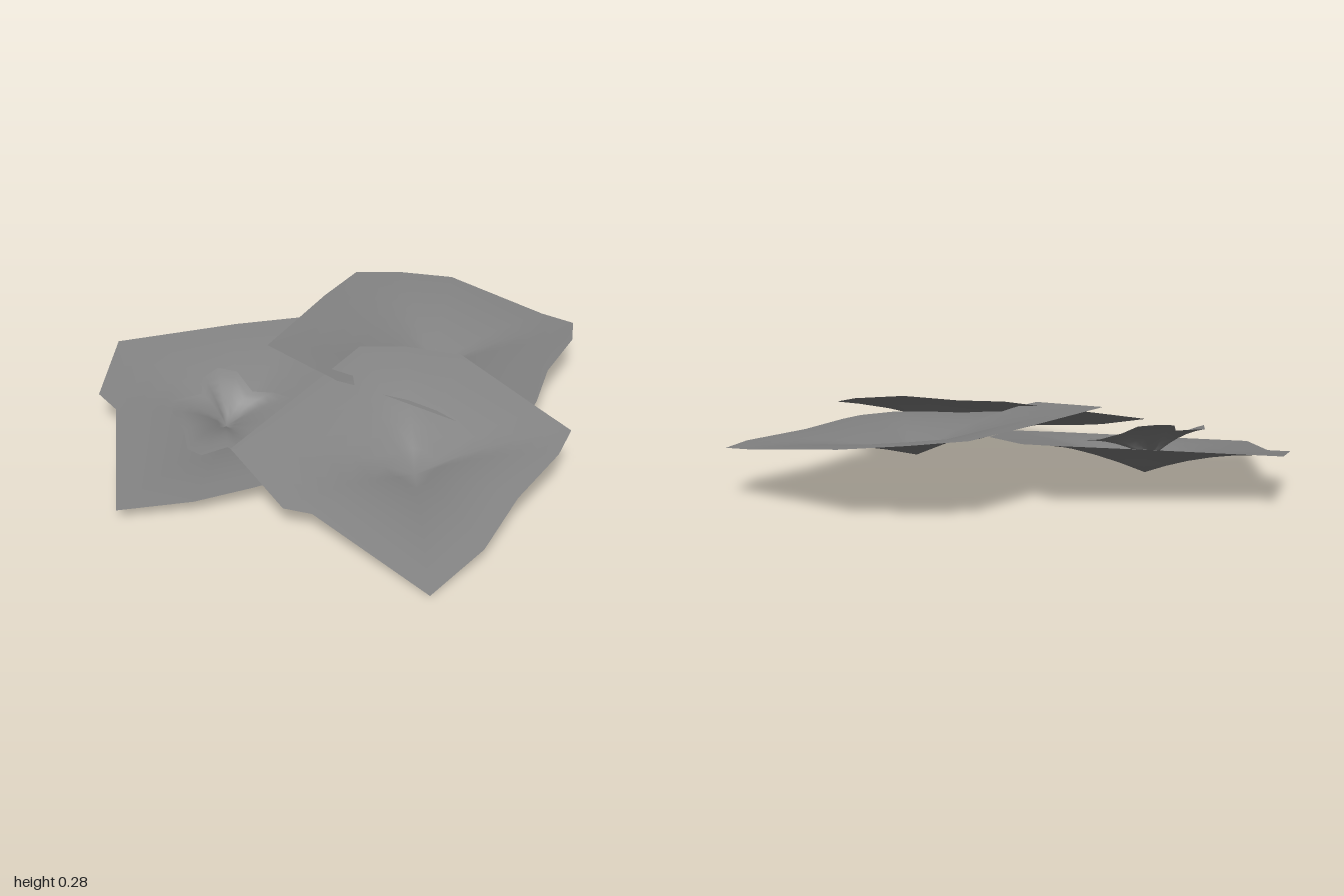
import * as THREE from 'three';

// Thin dished sheet: rings of the rim outline shrinking onto a low centre point.
// bulge raises the surface between centre and rim.
function dishedSheet(name, centre, rim, bulge) {
  const rings = 6;
  const c = new THREE.Vector3(...centre);
  const n = rim.length;
  const pos = [...centre];
  const index = [];
  for (let r = 1; r <= rings; r++) {
    const t = r / rings;
    for (const p of rim) {
      const v = c.clone().lerp(new THREE.Vector3(...p), t);
      pos.push(v.x, v.y + bulge * 4 * t * (1 - t), v.z);
    }
  }
  for (let i = 0; i < n; i++) {
    const j = (i + 1) % n;
    index.push(0, 1 + i, 1 + j);
    for (let r = 1; r < rings; r++) {
      const a = 1 + (r - 1) * n, b = 1 + r * n;
      index.push(a + i, b + i, b + j, a + i, b + j, a + j);
    }
  }
  const geo = new THREE.BufferGeometry();
  geo.setAttribute('position', new THREE.Float32BufferAttribute(pos, 3));
  geo.setIndex(index);
  geo.computeVertexNormals();
  const mesh = new THREE.Mesh(geo, new THREE.MeshStandardMaterial({ color: 0x828282, side: THREE.DoubleSide }));
  mesh.name = name;
  return mesh;
}

export function createModel() {
  const group = new THREE.Group();
  group.name = 'leafCluster';

  // Front leaf, tilted down to the front
  group.add(dishedSheet('frontLeaf', [0, 0.05, 0.31], [
    [-0.57, 0.15, 0.02], [-0.51, 0.08, 0.34], [-0.43, 0.07, 0.40], [-0.24, 0, 0.88],
    [0, 0.05, 0.80], [0.2, 0.11, 0.67], [0.42, 0.165, 0.57], [0.52, 0.19, 0.49],
    [0.47, 0.22, 0.36], [0.36, 0.28, -0.02], [0.2, 0.28, -0.17], [0.05, 0.28, -0.24],
    [-0.09, 0.25, -0.18],
  ], 0.03));

  // Leaf on the +x side, tilted outwards; its inner edge tucks under the front leaf
  group.add(dishedSheet('leftLeaf', [0.36, 0.11, -0.24], [
    [-0.25, 0.275, -0.41], [-0.11, 0.25, -0.09], [-0.02, 0.215, -0.06], [0.31, 0.158, 0.39],
    [0.46, 0.165, 0.30], [0.54, 0.165, 0.23], [0.7, 0.165, 0.05], [0.92, 0.165, -0.12],
    [1, 0.165, -0.24], [0.92, 0.175, -0.35], [0.7, 0.23, -0.71], [0.51, 0.25, -0.81],
    [0.33, 0.265, -0.86], [0.12, 0.27, -0.71],
  ], 0.025));

  // Lowest leaf on the -x side, carrying the flower
  group.add(dishedSheet('rightLeaf', [-0.45, 0.015, -0.29], [
    [-0.69, 0.17, -0.88], [-0.86, 0.125, -0.59], [-0.83, 0.11, -0.48], [-1, 0.04, 0.05],
    [-0.75, 0.05, 0.13], [-0.55, 0.065, 0.16], [-0.28, 0.085, 0.19], [-0.09, 0.1, 0.19],
    [-0.03, 0.12, 0.05], [0.12, 0.17, -0.30], [0.08, 0.19, -0.56], [0.02, 0.205, -0.69],
    [-0.24, 0.195, -0.77],
  ], 0.025));

  // Small five-lobed flower cup
  group.add(dishedSheet('flower', [-0.48, 0.06, -0.27], [
    [-0.44, 0.21, -0.44], [-0.51, 0.2, -0.41], [-0.54, 0.17, -0.35], [-0.65, 0.17, -0.35],
    [-0.68, 0.17, -0.27], [-0.67, 0.14, -0.18], [-0.69, 0.12, -0.09], [-0.65, 0.1, -0.06],
    [-0.55, 0.1, -0.07], [-0.52, 0.09, -0.02], [-0.46, 0.085, 0.01], [-0.40, 0.09, -0.04],
    [-0.38, 0.1, -0.07], [-0.31, 0.11, -0.10], [-0.28, 0.12, -0.18], [-0.23, 0.13, -0.24],
    [-0.28, 0.14, -0.29], [-0.36, 0.16, -0.30], [-0.38, 0.2, -0.40],
  ], 0.02));

  return group;
}
